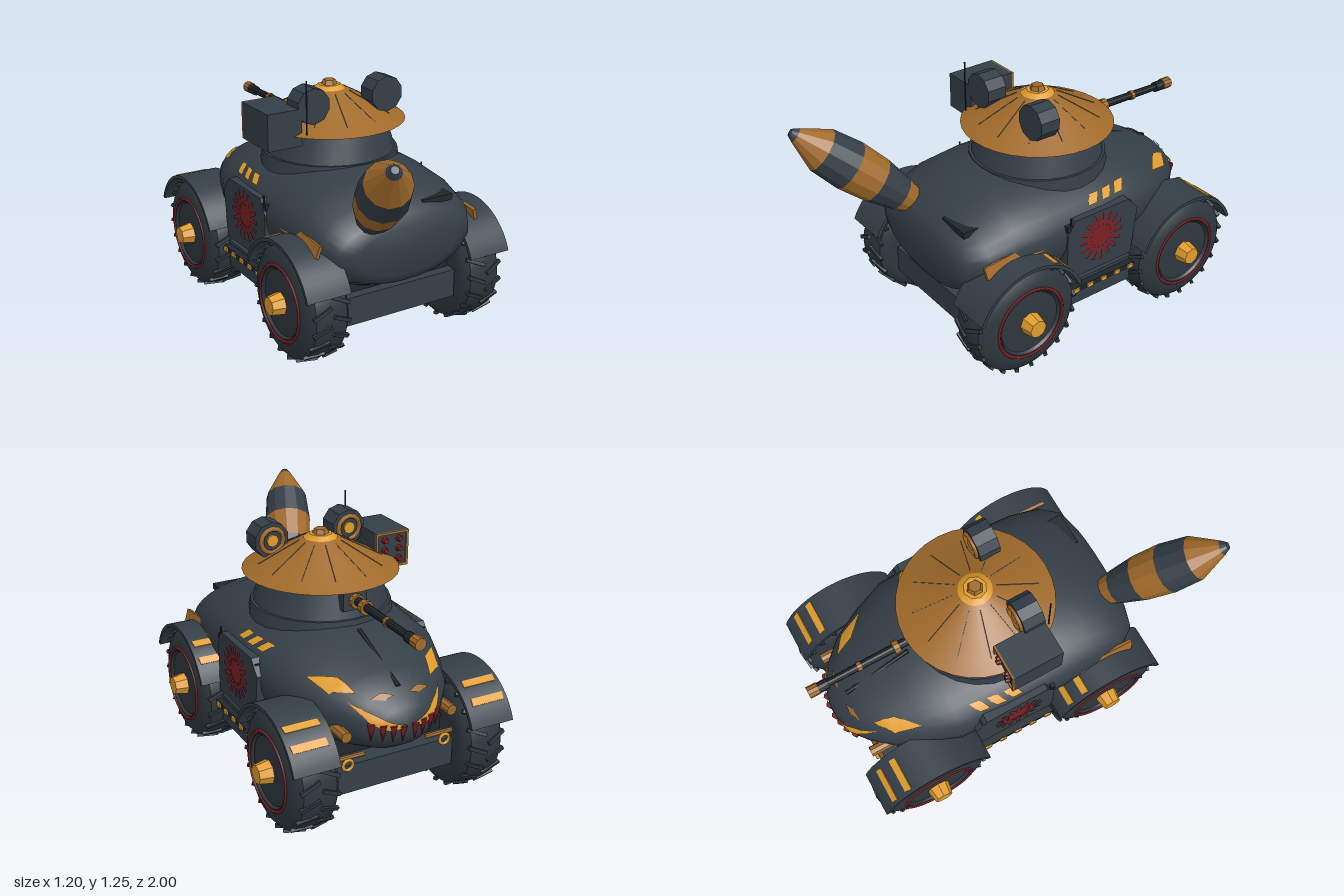
import * as THREE from 'three';
import { toCreasedNormals } from 'three/addons/utils/BufferGeometryUtils.js';

const V = (x, y, z) => new THREE.Vector3(x, y, z);
const UP = V(0, 1, 0);
const mat = (name, color, side = THREE.FrontSide) => {
  const m = new THREE.MeshStandardMaterial({ color, side });
  m.name = name;
  return m;
};

// Hull stations: z, half width, bottom, widest height, top
const STATIONS = [
  [0.57, 0.27, 0.42, 0.55, 0.65], [0.54, 0.36, 0.37, 0.56, 0.70], [0.45, 0.42, 0.33, 0.58, 0.765],
  [0.3, 0.445, 0.31, 0.6, 0.825], [0.1, 0.455, 0.31, 0.6, 0.85], [-0.2, 0.455, 0.31, 0.6, 0.85],
  [-0.45, 0.44, 0.32, 0.6, 0.82], [-0.6, 0.385, 0.33, 0.58, 0.77], [-0.75, 0.31, 0.35, 0.56, 0.72],
  [-0.85, 0.22, 0.38, 0.54, 0.665], [-0.91, 0.14, 0.42, 0.52, 0.6], [-0.935, 0.05, 0.47, 0.51, 0.55],
];
const POW = 2.1;

function hullGeometry(n = 36) {
  const pos = [], idx = [];
  for (const [z, w, b, m, t] of STATIONS) for (let j = 0; j < n; j++) {
    const a = j / n * Math.PI * 2, c = Math.cos(a), s = Math.sin(a);
    const f = v => Math.sign(v) * Math.abs(v) ** (2 / POW);
    pos.push(w * f(c), m + (s > 0 ? t - m : m - b) * f(s), z);
  }
  const last = STATIONS.length - 1;
  for (let i = 0; i < last; i++) for (let j = 0; j < n; j++) {
    const k = (j + 1) % n, a = i * n + j, b = i * n + k;
    idx.push(a, a + n, b, b, a + n, b + n);
  }
  const c = pos.length / 3;
  pos.push(0, STATIONS[0][3], 0.58, 0, STATIONS[last][3], -0.94);
  for (let j = 0; j < n; j++) {
    const k = (j + 1) % n;
    idx.push(c, j, k, c + 1, last * n + k, last * n + j);
  }
  const g = new THREE.BufferGeometry();
  g.setAttribute('position', new THREE.Float32BufferAttribute(pos, 3));
  g.setIndex(idx);
  g.computeVertexNormals();
  return g;
}

function insideHull(p) {
  const i = STATIONS.findIndex(s => s[0] <= p.z);
  if (i < 1) return false;
  const A = STATIONS[i - 1], B = STATIONS[i], f = (p.z - A[0]) / (B[0] - A[0]);
  const [, w, b, m, t] = A.map((v, k) => v + (B[k] - v) * f);
  return Math.abs(p.x / w) ** POW + Math.abs((p.y - m) / (p.y > m ? t - m : m - b)) ** POW < 1;
}

// Rays that drop a 2D point onto the hull from above, the side or the nose
const RAYS = {
  top: (x, z) => [V(x, 1, z), V(0, -1, 0)],
  side: (z, y) => [V(0.6, y, z), V(-1, 0, 0)],
  nose: (x, y) => [V(x, y, -1), V(0, 0, 1)],
};
function onHull(view, a, b, lift = 0.009) {
  const [p, d] = RAYS[view](a, b);
  for (let i = 0; i < 400 && !insideHull(p); i++) p.addScaledVector(d, 0.002);
  return p.addScaledVector(d, -lift);
}

// Painted patch on the hull between two rails of 2D points
function patch(view, railA, railB, s) {
  const nu = 10, nv = 4, g = new THREE.PlaneGeometry(1, 1, nu, nv), q = g.attributes.position;
  const at = (r, u) => {
    const f = u * (r.length - 1), i = Math.min(Math.floor(f), r.length - 2), k = f - i;
    return [0, 1].map(c => r[i][c] + (r[i + 1][c] - r[i][c]) * k);
  };
  for (let j = 0; j <= nv; j++) for (let i = 0; i <= nu; i++) {
    const A = at(railA, i / nu), B = at(railB, i / nu), v = j / nv;
    const p = onHull(view, A[0] + (B[0] - A[0]) * v, A[1] + (B[1] - A[1]) * v);
    q.setXYZ(j * (nu + 1) + i, p.x * s, p.y, p.z);
  }
  g.computeVertexNormals();
  return g;
}

const lathe = (pts, seg, crease = 0.6) =>
  toCreasedNormals(new THREE.LatheGeometry(pts.map(p => new THREE.Vector2(...p)), seg), crease);
const box = (x, y, z) => new THREE.BoxGeometry(x, y, z);
const cyl = (a, b, h, n) => toCreasedNormals(new THREE.CylinderGeometry(a, b, h, n), 0.6);

export function createModel() {
  const D = THREE.DoubleSide;
  const slate = mat('slate paint', 0x343e47), rubber = mat('rubber', 0x2e373e);
  const dark = mat('dark metal', 0x20272c), steel = mat('steel', 0x555d64);
  const bronze = mat('bronze', 0xa06a2a, D), gold = mat('gold paint', 0xe09c2c, D), red = mat('red paint', 0x7c2024, D);
  const root = new THREE.Group();
  const add = (name, g, m, x = 0, y = 0, z = 0, parent = root) => {
    const o = new THREE.Mesh(g, m);
    o.name = name;
    o.position.set(x, y, z);
    parent.add(o);
    return o;
  };
  const rod = (name, a, b, r, m, n = 8, r2 = r) => {
    const d = b.clone().sub(a), o = add(name, cyl(r2, r, d.length(), n), m);
    o.position.copy(a).addScaledVector(d, 0.5);
    o.quaternion.setFromUnitVectors(UP, d.normalize());
    return o;
  };

  // Hull and chassis
  add('hull', hullGeometry(), slate);
  add('chassis', box(0.62, 0.14, 1.34), slate, 0, 0.265, -0.16);
  add('chassisTop', box(0.6, 0.1, 1.2), dark, 0, 0.37, -0.14);
  add('rearVent', box(0.17, 0.03, 0.09), dark, 0.2, 0.715, 0.46);
  rod('noseRidge', onHull('top', 0, -0.5, 0), onHull('top', 0, -0.84, 0), 0.012, dark);

  // Turret, its collar and the wide straw hat
  add('turretCollar', cyl(0.335, 0.345, 0.07, 24), slate, 0, 0.805, -0.13);
  add('turret', cyl(0.28, 0.325, 0.15, 24), slate, 0, 0.905, -0.13);
  add('hat', lathe([[0.372, 0.988], [0.3, 1.02], [0.19, 1.077], [0.08, 1.135]], 32), bronze, 0, 0, -0.13);
  add('hatCap', cyl(0.055, 0.095, 0.03, 8), gold, 0, 1.138, -0.13);
  add('hatKnob', cyl(0.03, 0.045, 0.035, 6), bronze, 0, 1.158, -0.13);
  for (let i = 0; i < 12; i++) {
    const a = (i + 0.5) / 12 * Math.PI * 2, at = (r, y) => V(r * Math.sin(a), y, -0.13 + r * Math.cos(a));
    rod('hatSeam', at(0.1, 1.126), at(0.3, 1.021), 0.002, steel, 4);
  }

  // Gun
  rod('gunBarrel', V(0, 0.937, -0.38), V(0, 0.93, -0.98), 0.022, dark, 10, 0.017);
  add('gunMantlet', box(0.12, 0.09, 0.08), slate, 0, 0.93, -0.42);
  for (const [z, r, l] of [[-0.47, 0.034, 0.03], [-0.55, 0.034, 0.03], [-0.74, 0.024, 0.02], [-0.975, 0.029, 0.05]])
    rod('gunBand', V(0, 0.932, z + l / 2), V(0, 0.932, z - l / 2), r, bronze, 10);
  rod('gunMuzzle', V(0, 0.93, -0.9), V(0, 0.93, -0.952), 0.026, dark, 10);

  // Launcher box and antenna
  add('launcher', box(0.18, 0.18, 0.25), slate, -0.36, 1.027, -0.055);
  for (const k of [-1, 1]) {
    add('launcherFrame', box(0.012, 0.18, 0.01), bronze, -0.36 + k * 0.084, 1.027, -0.184);
    add('launcherFrame', box(0.18, 0.012, 0.01), bronze, -0.36, 1.027 + k * 0.084, -0.184);
    for (let r = -1; r < 2; r++)
      rod('rocket', V(-0.36 + k * 0.04, 1.027 + r * 0.05, -0.17), V(-0.36 + k * 0.04, 1.027 + r * 0.05, -0.2), 0.02, red, 8, 0.012);
  }
  rod('antenna', V(-0.265, 1.0, 0.105), V(-0.265, 1.257, 0.105), 0.004, dark, 5);

  // Striped tail
  const base = V(-0.155, 0.67, 0.48), dir = V(-0.375, 1.118, 0.985).sub(base), L = dir.length();
  const tail = new THREE.Group();
  tail.name = 'tail';
  tail.position.copy(base);
  tail.quaternion.setFromUnitVectors(UP, dir.clone().normalize());
  root.add(tail);
  const rings = [[0.06, 0], [0.085, 0.13], [0.112, 0.33], [0.122, 0.54], [0.108, 0.76], [0.036, 0.96], [0.018, 1], [0, 1]];
  for (let i = 0; i < 6; i++)
    add('tailBand', lathe(rings.slice(i, i === 5 ? 8 : i + 2).map(([r, t]) => [r, t * L]), 12, 0.3), i % 2 ? slate : bronze, 0, 0, 0, tail);

  // Shared shapes for wheels, fenders and doors
  const tyre = lathe([[0, -0.1], [0.15, -0.1], [0.2, -0.1125], [0.25, -0.1], [0.274, -0.08], [0.283, -0.04], [0.283, 0.04],
    [0.274, 0.08], [0.25, 0.1], [0.2, 0.118], [0.17, 0.118], [0.16, 0.105], [0, 0.112]], 32);
  const arc = new THREE.Shape();
  arc.absarc(0, 0, 0.31, 0.38, Math.PI - 0.38, false);
  arc.absarc(0, 0, 0.293, Math.PI - 0.38, 0.38, true);
  const fenderGeo = toCreasedNormals(new THREE.ExtrudeGeometry(arc, { depth: 0.225, bevelEnabled: false, curveSegments: 12 }), 0.5).rotateY(Math.PI / 2);
  const door = new THREE.Shape([[-0.04, 0.37], [-0.04, 0.62], [0.0, 0.69], [0.33, 0.69], [0.39, 0.62], [0.36, 0.37]].map(p => new THREE.Vector2(...p)));
  const doorGeo = new THREE.ExtrudeGeometry(door, { depth: 0.15, bevelEnabled: false }).rotateY(Math.PI / 2);
  const stripeGeo = box(0.17, 0.007, 0.036).applyMatrix4(new THREE.Matrix4().makeShear(0, 0, 0, 0, 0.12, 0));

  for (const s of [1, -1]) {
    for (const z of [0.318, -0.655]) {
      // Wheel with chevron tread, red rim ring and hub
      const wheel = new THREE.Group();
      wheel.name = 'wheel';
      wheel.position.set(s * 0.4275, 0.297, z);
      wheel.rotation.y = s > 0 ? 0 : Math.PI;
      root.add(wheel);
      add('tyre', tyre, rubber, 0, 0, 0, wheel).rotation.z = -Math.PI / 2;
      const ring = add('rimRing', new THREE.TorusGeometry(0.183, 0.008, 4, 32), red, 0.118, 0, 0, wheel);
      ring.rotation.y = Math.PI / 2;
      add('hub', cyl(0.045, 0.058, 0.07, 8), gold, 0.138, 0, 0, wheel).rotation.z = -Math.PI / 2;
      for (let i = 0; i < 40; i++) {
        const lug = new THREE.Group(), k = i % 2 ? 1 : -1;
        lug.name = 'treadLug';
        lug.rotation.x = i / 40 * Math.PI * 2;
        wheel.add(lug);
        const block = add('treadBlock', box(0.1, 0.016, 0.018), rubber, k * 0.05, 0.28, 0, lug);
        block.rotation.set(0, k * 0.45, -k * 0.12);
      }
      // Fender with warning stripes
      add('fender', fenderGeo, slate, s > 0 ? 0.335 : -0.56, 0.298, z);
      for (const a of [0.8, 0.49]) {
        const st = add('fenderStripe', stripeGeo, gold, s * 0.455, 0.298 + 0.31 * Math.cos(a), z - 0.31 * Math.sin(a));
        st.rotation.x = -a;
        st.scale.x = s;
      }
    }
    // Side door with a red sunburst
    add('door', doorGeo, slate, s > 0 ? 0.312 : -0.462, 0, 0);
    const sun = new THREE.Group();
    sun.name = 'sunburst';
    sun.position.set(s * 0.466, 0.55, -0.16);
    sun.rotation.y = s * Math.PI / 2;
    root.add(sun);
    add('sunDisc', new THREE.CircleGeometry(0.055, 20), red, 0, 0, 0, sun);
    add('sunRing', new THREE.RingGeometry(0.068, 0.085, 24), red, 0, 0, 0, sun);
    for (let i = 0; i < 16; i++)
      add('sunRay', new THREE.PlaneGeometry(0.02, 0.075).translate(0, 0.092, 0), red, 0, 0, 0.001, sun).rotation.z = i * Math.PI / 8;

    // Sill and running board with marker blocks
    add('sill', box(0.15, 0.14, 0.42), slate, s * 0.375, 0.27, -0.165);
    add('runningBoard', box(0.18, 0.025, 0.4), dark, s * 0.395, 0.31, -0.165);
    for (let i = 0; i < 5; i++) add('boardMarker', box(0.014, 0.02, 0.035), gold, s * 0.486, 0.31, 0.0 - i * 0.085);
    add('doorHinge', box(0.03, 0.03, 0.05), dark, s * 0.445, 0.655, 0.02);
    rod('mirrorStalk', V(s * 0.45, 0.63, 0.02), V(s * 0.455, 0.71, 0.02), 0.005, dark, 5);
    add('doorHandle', box(0.03, 0.025, 0.05), dark, s * 0.44, 0.655, -0.33);

    // Rear guard bar
    const bar = add('rearGuard', box(0.016, 0.06, 0.33), bronze, s * 0.435, 0.605, 0.33);
    bar.rotation.set(0.1, 0, s * 0.3);

    // Ears with gold lens rings on the gun side
    rod('ear', V(s * 0.205, 1.118, 0.07), V(s * 0.205, 1.118, -0.035), 0.088, slate, 10);
    add('earRing', new THREE.TorusGeometry(0.058, 0.012, 5, 12), bronze, s * 0.205, 1.118, -0.038);
    rod('earLens', V(s * 0.205, 1.118, -0.03), V(s * 0.205, 1.118, -0.045), 0.03, gold, 8);
    rod('earPost', V(s * 0.205, 1.06, 0.015), V(s * 0.205, 0.99, 0.0), 0.015, dark);

    // Painted shoulder stripes, eyes and grin
    for (let i = 0; i < 3; i++) {
      const z = -0.11 - i * 0.085;
      add('shoulderStripe', patch('side', [[z, 0.712], [z - 0.055, 0.712]], [[z - 0.035, 0.748], [z - 0.09, 0.748]], s), gold);
    }
    add('eye', patch('top', [[0.19, -0.8], [0.225, -0.7], [0.33, -0.6]], [[0.19, -0.8], [0.285, -0.73], [0.33, -0.6]], s), gold);
    add('grin', patch('nose', [[0.03, 0.52], [0.1, 0.515], [0.17, 0.55], [0.23, 0.63]],
      [[0.03, 0.535], [0.09, 0.555], [0.15, 0.59], [0.23, 0.63]], s), gold);
    add('brow', patch('top', [[0.04, -0.87], [0.09, -0.85], [0.15, -0.85]], [[0.04, -0.87], [0.085, -0.875], [0.15, -0.85]], s), bronze);
    for (let i = 0; i < 4; i++) {
      const p = onHull('nose', 0.03 + i * 0.045, 0.49 + i * 0.006, 0.004);
      add('fang', new THREE.ConeGeometry(0.018, 0.085, 6), red, s * p.x, p.y, p.z).rotation.x = Math.PI;
    }

    // Tow hook and front lamp
    add('towHook', new THREE.TorusGeometry(0.025, 0.008, 5, 10), gold, s * 0.25, 0.35, -0.85);
    rod('towBar', V(s * 0.16, 0.375, -0.83), V(s * 0.3, 0.375, -0.83), 0.012, bronze);
    rod('frontLamp', V(s * 0.27, 0.5, -0.76), V(s * 0.27, 0.5, -0.87), 0.026, bronze);
  }
  return root;
}
